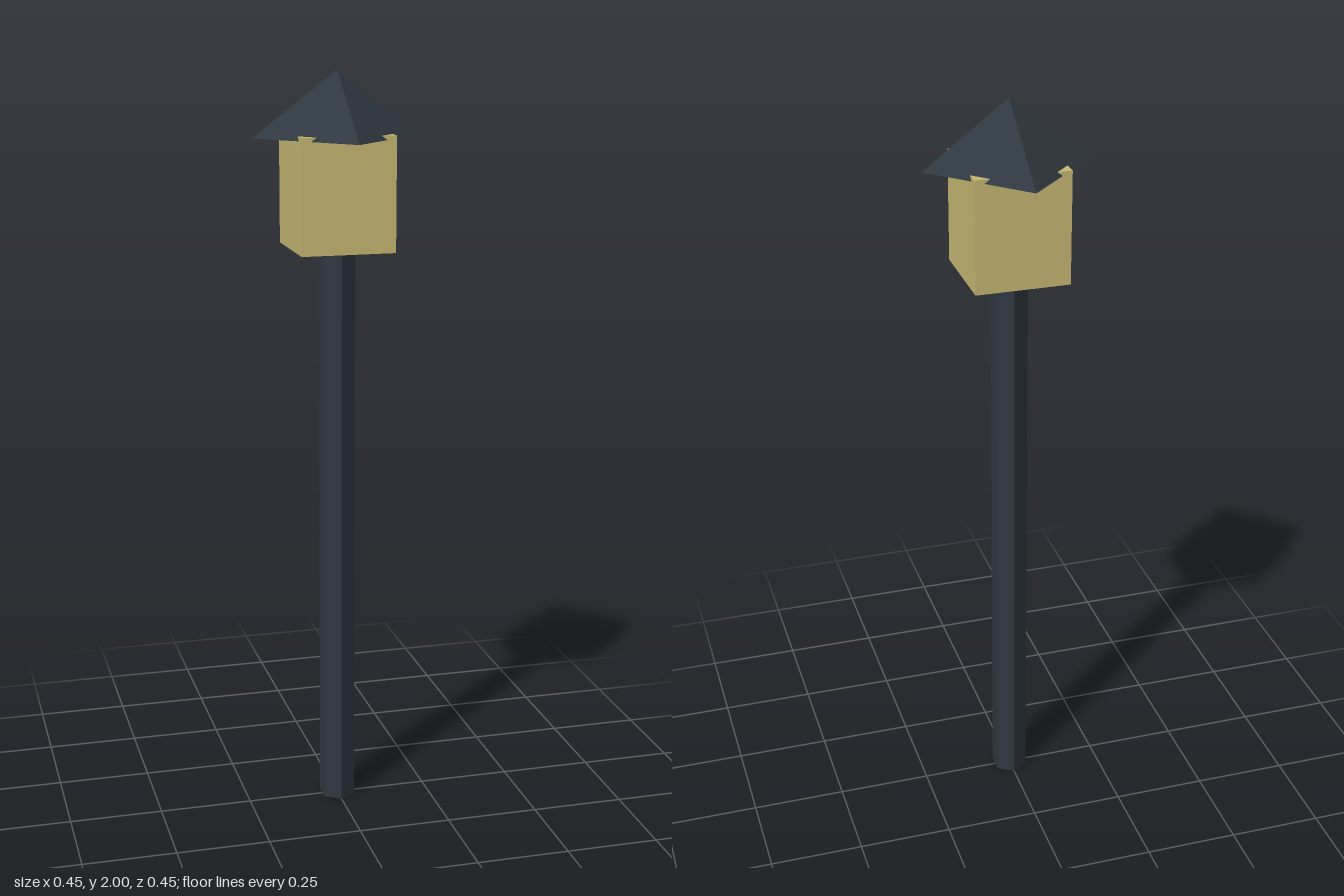
import * as THREE from 'three';

export function createModel() {
  const model = new THREE.Group();
  const darkMetal = new THREE.MeshStandardMaterial({ color: 0x2f3840, flatShading: true });
  darkMetal.name = 'darkMetal';
  const warmGlass = new THREE.MeshStandardMaterial({ color: 0xc9ba74, flatShading: true });
  warmGlass.name = 'warmGlass';

  // Each part is placed by the height of its underside
  function add(name, geometry, material, height, bottom) {
    const mesh = new THREE.Mesh(geometry, material);
    mesh.name = name;
    mesh.position.y = bottom + height / 2;
    model.add(mesh);
  }

  // Six-sided post, with corners towards front and back
  add('post', new THREE.CylinderGeometry(0.0495, 0.0495, 1.545, 6), darkMetal, 1.545, 0);
  // Glowing lantern box
  add('lantern', new THREE.BoxGeometry(0.248, 0.298, 0.248), warmGlass, 0.298, 1.545);
  // Pyramid roof, turned so the box corners poke out under its sides
  add('roof', new THREE.ConeGeometry(0.223, 0.168, 4), darkMetal, 0.168, 1.832);

  return model;
}
